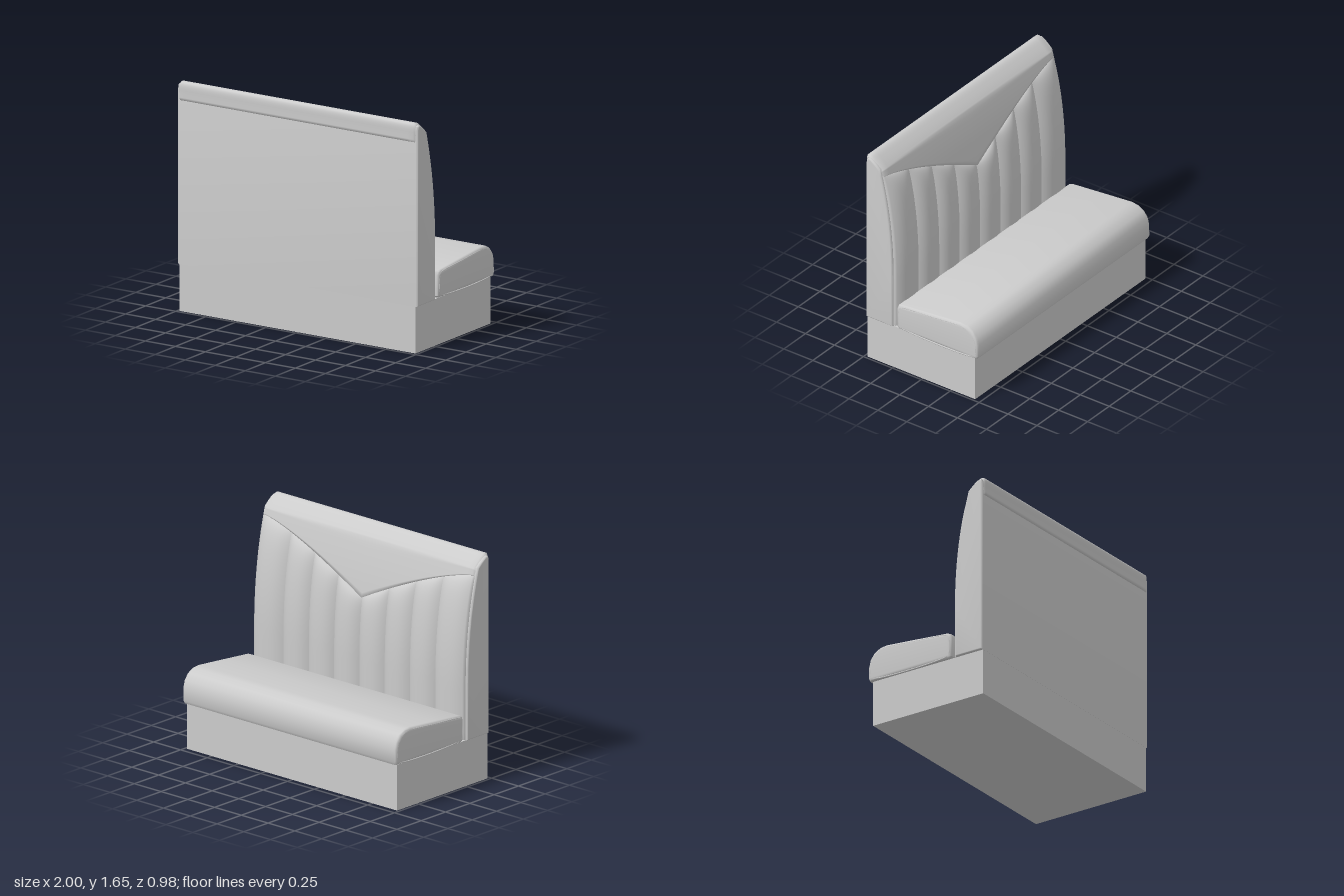
import * as THREE from 'three';
import { toCreasedNormals } from 'three/addons/utils/BufferGeometryUtils.js';

const material = new THREE.MeshStandardMaterial({ color: 0xcccccc });
const thinMaterial = new THREE.MeshStandardMaterial({ color: 0xcccccc, side: THREE.DoubleSide });

// Front face of the backrest frame: upright below, sweeping backwards above
const bodyZ = (y) => 0.25 + 0.15 * Math.pow(Math.max(0, y - 0.7), 2.2);
// Curved V line where the upper panel meets the channels
const vEdge = (x) => 1.15 + 0.37 * (1 - Math.pow(Math.max(0, 1 - Math.abs(x) / 0.985), 1.35));

function add(group, name, geometry, mat = material) {
  const mesh = new THREE.Mesh(geometry, mat);
  mesh.name = name;
  group.add(mesh);
  return mesh;
}

// Extrudes a (z, y) side profile across x with rounded ends
function extrudeAcross(points, width, thickness, size) {
  const shape = new THREE.Shape(points.map(([z, y]) => new THREE.Vector2(z, y)));
  const geo = new THREE.ExtrudeGeometry(shape, {
    depth: width - 2 * thickness, bevelThickness: thickness,
    bevelSize: size, bevelOffset: -size, bevelSegments: 4,
  });
  geo.translate(0, 0, -(width / 2 - thickness));
  geo.rotateY(-Math.PI / 2);
  return toCreasedNormals(geo, 0.6);
}

// Smooth sheet from a grid of points; fn(i, j) returns [x, y, z]
function sheet(nu, nv, fn) {
  const pos = [], index = [];
  for (let j = 0; j <= nv; j++) for (let i = 0; i <= nu; i++) pos.push(...fn(i, j));
  for (let j = 0; j < nv; j++) for (let i = 0; i < nu; i++) {
    const a = j * (nu + 1) + i, b = a + nu + 1;
    index.push(a, b, a + 1, a + 1, b, b + 1);
  }
  const geo = new THREE.BufferGeometry();
  geo.setAttribute('position', new THREE.Float32BufferAttribute(pos, 3));
  geo.setIndex(index);
  geo.computeVertexNormals();
  return geo;
}

export function createModel() {
  const model = new THREE.Group();
  model.name = 'boothBench';

  // Plinth
  const base = add(model, 'base', new THREE.BoxGeometry(1.965, 0.335, 0.93));
  base.position.set(0, 0.1675, 0.012);

  // Backrest frame with side panels
  const frame = [[0.478, 0.335], [0.478, 1.6], [0.472, 1.627], [0.455, 1.637], [0.435, 1.63], [0.4, 1.605]];
  for (let i = 0; i <= 20; i++) {
    const y = 1.57 - (i / 20) * 0.87;
    frame.push([bodyZ(y), y]);
  }
  frame.push([0.25, 0.335]);
  add(model, 'backrestFrame', extrudeAcross(frame.reverse(), 2, 0.015, 0.012));

  // Eight padded vertical channels
  const channels = new THREE.Group();
  channels.name = 'channels';
  model.add(channels);
  const seams = [-0.985, -0.71, -0.472, -0.236, 0, 0.236, 0.472, 0.71, 0.985];
  for (let c = 0; c < 8; c++) {
    const rows = 40, cols = 14;
    add(channels, 'channel', sheet(cols, rows, (i, j) => {
      const u = -Math.cos((i / cols) * Math.PI); // denser towards the seams
      const t = 1 - Math.pow(1 - j / rows, 1.7); // denser towards the top
      const x = THREE.MathUtils.lerp(seams[c], seams[c + 1], (u + 1) / 2);
      const y = 0.34 + t * (vEdge(x) + 0.005 - 0.34);
      const bulge = (0.01 + 0.042 * (1 - Math.pow(Math.abs(u), 2.5))) * Math.sqrt(1 - Math.pow(t, 16));
      const wall = (i === 0 && c === 0) || (i === cols && c === 7);
      return [x, y, bodyZ(y) - (wall ? -0.005 : bulge)];
    }), thinMaterial);
  }

  // Upper panel: rolled over the top edge, running down to the V line
  const roll = new THREE.CatmullRomCurve3(
    [[0.49, 1.52], [0.49, 1.575], [0.49, 1.62], [0.482, 1.644], [0.46, 1.653], [0.435, 1.645],
      [0.4, 1.618], [0.37, 1.59], [0.347, 1.565]].map(([z, y]) => new THREE.Vector3(0, y, z)));
  const rollPoints = roll.getPoints(24);
  const lower = 12, cols = 44;
  add(model, 'upperPanel', sheet(cols, 1 + 25 + lower + 1, (i, j) => {
    const end = i < 2 || i > cols - 2;
    const x = i === 0 ? -0.985 : i === cols ? 0.985 : THREE.MathUtils.lerp(-0.97, 0.97, (i - 1) / (cols - 2));
    let y, z;
    if (j === 0) {
      [y, z] = [1.52, 0.475]; // back lip
    } else if (j <= 25) {
      ({ y, z } = rollPoints[j - 1]);
    } else {
      const k = Math.min(1, (j - 25) / lower);
      y = THREE.MathUtils.lerp(1.565, vEdge(x), k);
      z = bodyZ(y) - 0.014 + (j > 25 + lower ? 0.02 : 0); // last row tucks in
    }
    // Ends fold down onto the frame
    if (end && (i === 0 || i === cols)) {
      const dy = 1.5 - y, dz = 0.42 - z, s = 0.018 / Math.hypot(dy, dz);
      y += dy * s;
      z += dz * s;
    }
    return [x, y, z];
  }), thinMaterial);

  // Seat cushion, rising to a rounded front edge
  const corners = [[0.2, 0.337], [0.215, 0.352], [0.215, 0.5], [0.205, 0.525], [0.18, 0.536], [-0.08, 0.56],
    [-0.33, 0.582], [-0.385, 0.576], [-0.435, 0.55], [-0.47, 0.505], [-0.484, 0.45], [-0.485, 0.36], [-0.472, 0.337]];
  add(model, 'seatCushion', extrudeAcross(corners, 2, 0.02, 0.026));

  // Piping around both ends of the cushion
  const outline = corners.map(([z, y]) => new THREE.Vector3(0, 0.453 + (y - 0.453) * 0.84, -0.135 + (z + 0.135) * 0.94));
  const piping = new THREE.TubeGeometry(new THREE.CatmullRomCurve3(outline, true, 'centripetal'), 90, 0.005, 6, true);
  for (const side of [-1, 1]) add(model, 'seatPiping', piping).position.x = side * 0.995;

  return model;
}
